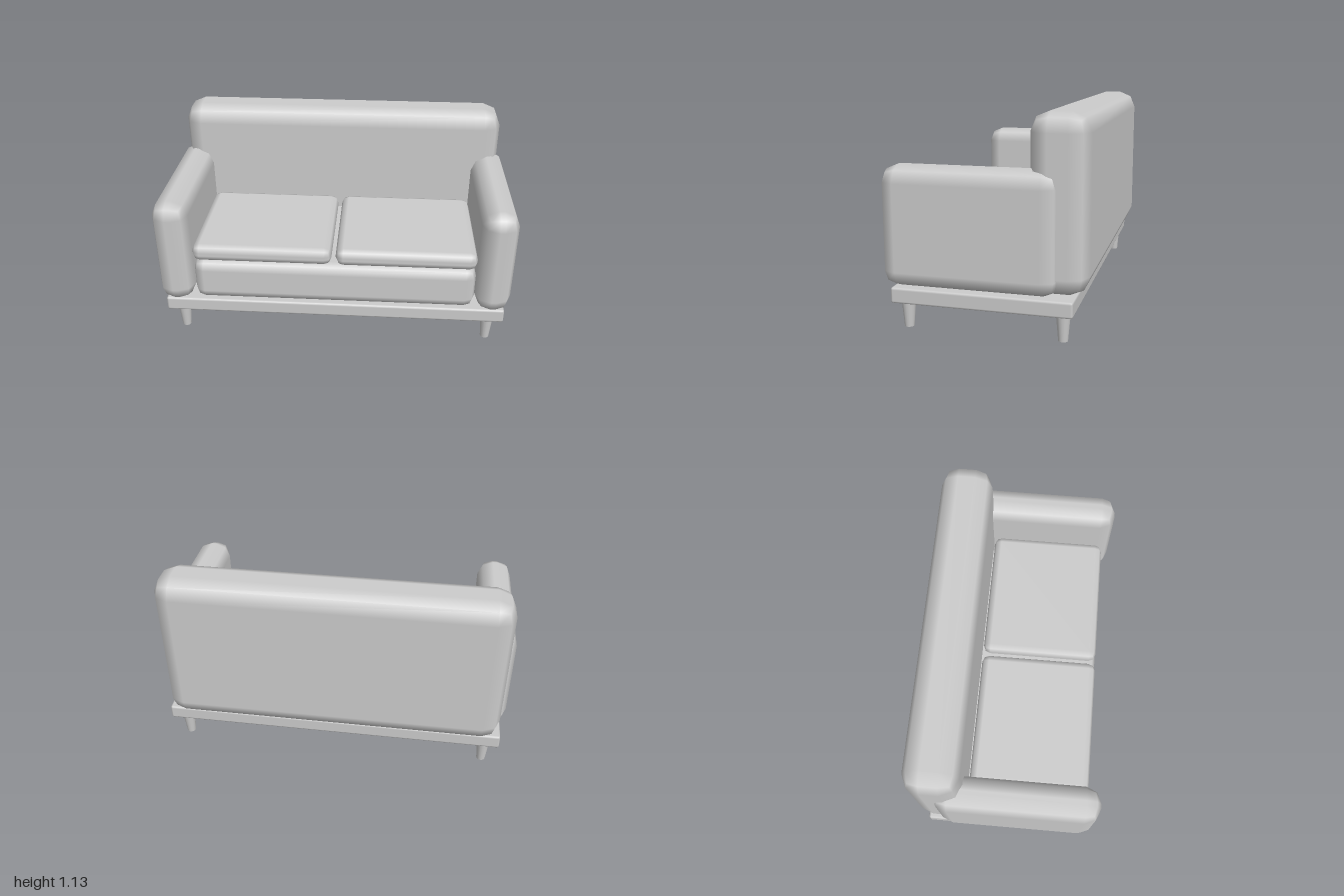
import * as THREE from 'three';

const grey = new THREE.MeshStandardMaterial({ color: 0xcccccc });
grey.name = 'plain grey';

// Box with two-step smooth bevels, given by its min and max corners.
function softBox(name, min, max, r) {
  const geo = new THREE.BoxGeometry(3, 3, 3, 3, 3, 3);
  const pos = geo.attributes.position;
  const nor = geo.attributes.normal;
  const lo = new THREE.Vector3(...min);
  const hi = new THREE.Vector3(...max);
  const centre = lo.clone().add(hi).multiplyScalar(0.5);
  const core = hi.clone().sub(lo).multiplyScalar(0.5).subScalar(r);
  const p = new THREE.Vector3();
  const dir = new THREE.Vector3();
  for (let i = 0; i < pos.count; i++) {
    p.fromBufferAttribute(pos, i);
    // outer grid lines (1.5) lean outwards, inner ones (0.5) stay flat
    dir.set(...p.toArray().map((v) => (Math.abs(v) > 1 ? Math.sign(v) : 0))).normalize();
    p.set(Math.sign(p.x), Math.sign(p.y), Math.sign(p.z)).multiply(core).addScaledVector(dir, r).add(centre);
    pos.setXYZ(i, p.x, p.y, p.z);
    nor.setXYZ(i, dir.x, dir.y, dir.z);
  }
  const mesh = new THREE.Mesh(geo, grey);
  mesh.name = name;
  return mesh;
}

export function createModel() {
  const sofa = new THREE.Group();
  sofa.name = 'sofa';

  // Frame, seat base and backrest
  sofa.add(softBox('platform', [-0.975, 0.143, -0.463], [0.975, 0.227, 0.477], 0.013));
  sofa.add(softBox('seatBase', [-0.802, 0.227, -0.3], [0.802, 0.48, 0.475], 0.06));
  sofa.add(softBox('backrest', [-0.96, 0.227, -0.525], [0.96, 1.127, -0.226], 0.1));

  for (const [side, s] of [['left', 1], ['right', -1]]) {
    const span = (a, b) => (s > 0 ? [a, b] : [-b, -a]);

    // Armrest
    const [a0, a1] = span(0.8, 1);
    sofa.add(softBox(side + 'Armrest', [a0, 0.227, -0.392], [a1, 0.852, 0.525], 0.087));

    // Seat cushion
    const [c0, c1] = span(0.012, 0.8);
    sofa.add(softBox(side + 'Cushion', [c0, 0.478, -0.216], [c1, 0.578, 0.47], 0.042));

    // Tapered legs
    for (const [end, z] of [['Front', 0.414], ['Back', -0.4]]) {
      const leg = new THREE.Mesh(new THREE.CylinderGeometry(0.038, 0.025, 0.15, 16), grey);
      leg.name = side + end + 'Leg';
      leg.position.set(s * 0.888, 0.075, z);
      sofa.add(leg);
    }
  }
  return sofa;
}
